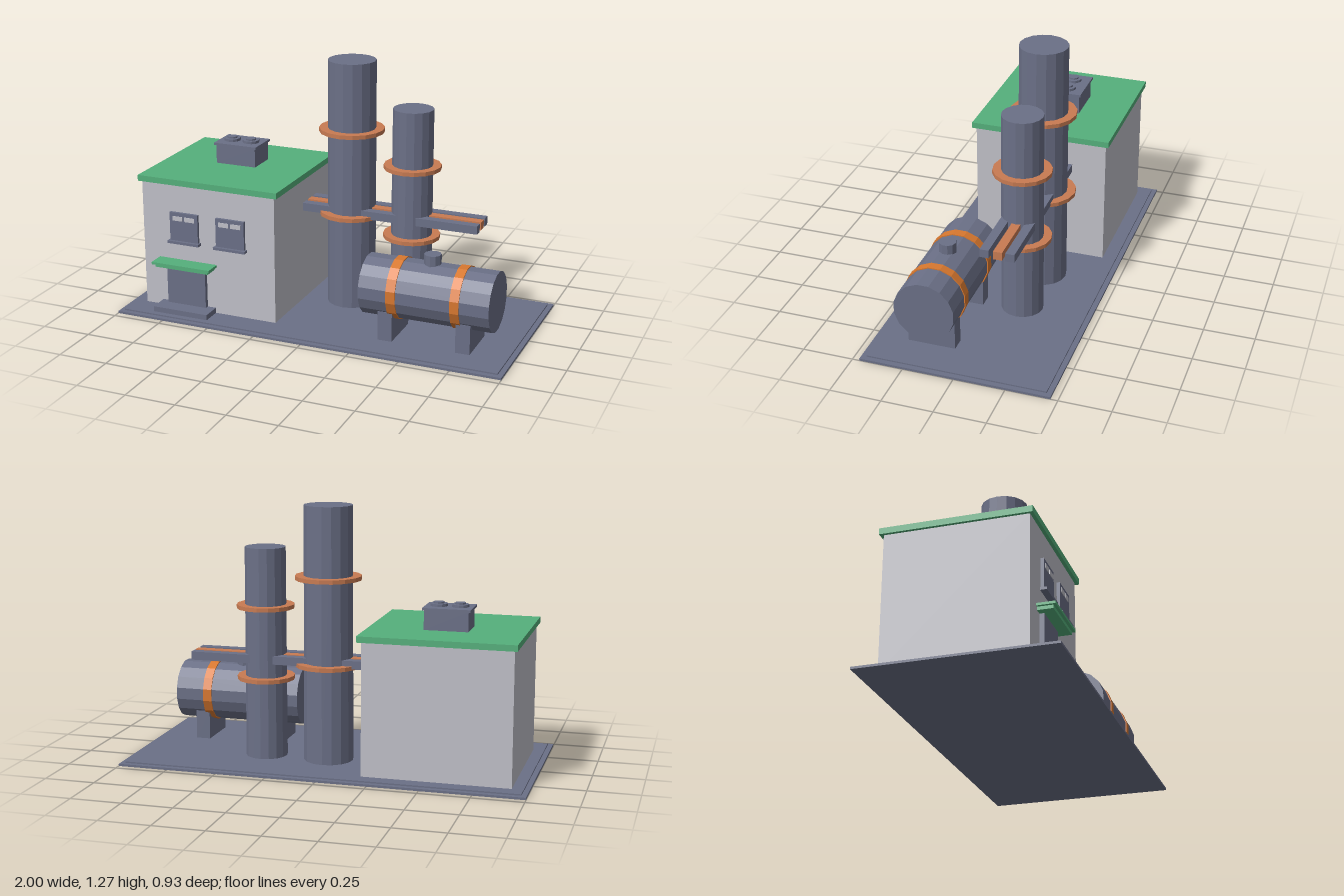
import * as THREE from 'three';

const mat = (name, color, flat = true) => {
  const m = new THREE.MeshStandardMaterial({ color, flatShading: flat });
  m.name = name;
  return m;
};

export function createModel() {
  const root = new THREE.Group();
  root.name = 'factory';
  const steel = mat('steel grey', 0x6b7087);
  const wall = mat('wall grey', 0xc0c0c8);
  const green = mat('roof green', 0x55b07c);
  const copper = mat('copper', 0xc87b52);
  const orange = mat('band orange', 0xd8782f);

  const group = (name) => {
    const g = new THREE.Group();
    g.name = name;
    root.add(g);
    return g;
  };
  const add = (parent, name, geometry, material) => {
    const m = new THREE.Mesh(geometry, material);
    m.name = name;
    parent.add(m);
    return m;
  };
  // Box given by its extents on each axis
  const box = (parent, name, material, [x0, x1], [y0, y1], [z0, z1]) => {
    const g = new THREE.BoxGeometry(x1 - x0, y1 - y0, z1 - z0);
    g.translate((x0 + x1) / 2, (y0 + y1) / 2, (z0 + z1) / 2);
    return add(parent, name, g, material);
  };
  // Upright cylinder from y0 to y1
  const post = (parent, name, material, x, z, r0, r1, y0, y1, sides) => {
    const g = new THREE.CylinderGeometry(r1, r0, y1 - y0, sides);
    g.translate(x, (y0 + y1) / 2, z);
    return add(parent, name, g, material);
  };

  // Ground slab with a shallow raised deck
  const base = group('base');
  box(base, 'slab', steel, [-1, 1], [0, 0.011], [-0.465, 0.465]);
  box(base, 'deck', steel, [-0.975, 0.975], [0.011, 0.018], [-0.44, 0.44]);

  // Main building
  const building = group('building');
  box(building, 'walls', wall, [-0.92, -0.2], [0.005, 0.67], [-0.372, 0.31]);
  box(building, 'roof', green, [-0.935, -0.18], [0.668, 0.698], [-0.39, 0.327]);

  // Rooftop cooling unit with two fans
  const cooler = group('roofUnit');
  box(cooler, 'unitBody', steel, [-0.665, -0.45], [0.698, 0.795], [-0.158, -0.005]);
  box(cooler, 'unitLid', steel, [-0.675, -0.442], [0.793, 0.805], [-0.166, 0.003]);
  for (const x of [-0.611, -0.507]) {
    post(cooler, 'fanHousing', steel, x, -0.081, 0.042, 0.042, 0.805, 0.818, 12);
    post(cooler, 'fanHub', steel, x, -0.081, 0.026, 0.026, 0.818, 0.826, 10);
  }

  // Entrance
  const entrance = group('entrance');
  box(entrance, 'door', steel, [-0.785, -0.573], [0.04, 0.25], [0.3, 0.332]);
  box(entrance, 'step', steel, [-0.825, -0.528], [0.016, 0.045], [0.3, 0.412]);
  box(entrance, 'canopy', green, [-0.822, -0.53], [0.248, 0.266], [0.3, 0.383]);
  box(entrance, 'canopyTop', green, [-0.835, -0.517], [0.264, 0.276], [0.3, 0.397]);

  // Windows: frame, sill and two light panes each
  for (const x of [-0.687, -0.434]) {
    const win = group('window');
    box(win, 'frame', steel, [x - 0.077, x + 0.077], [0.378, 0.526], [0.3, 0.325]);
    box(win, 'sill', steel, [x - 0.086, x + 0.086], [0.367, 0.38], [0.3, 0.341]);
    for (const s of [-0.033, 0.033])
      box(win, 'pane', wall, [x + s - 0.027, x + s + 0.027], [0.485, 0.508], [0.322, 0.328]);
  }

  // Chimneys with flat collar rings
  const collar = (parent, x, z, outer, inner, y, h) => {
    const pts = [[inner, -h], [outer, -h], [outer, h], [inner, h], [inner, -h]]
      .map(([r, v]) => new THREE.Vector2(r, v));
    add(parent, 'collar', new THREE.LatheGeometry(pts, 16), copper).position.set(x, y, z);
  };
  const chimneys = [
    { x: 0.03, r: 0.122, h: 1.275, ring: 0.163, ys: [0.924, 0.498] },
    { x: 0.35, r: 0.103, h: 1.062, ring: 0.142, ys: [0.77, 0.415] },
  ];
  for (const { x, r, h, ring, ys } of chimneys) {
    const c = group('chimney');
    post(c, 'stack', steel, x, -0.119, r, r - 0.003, 0.01, h, 16);
    for (const y of ys) collar(c, x, -0.119, ring, r - 0.005, y, 0.01);
  }

  // Three square pipes running past the chimneys
  const pipes = group('pipes');
  for (const [z, m] of [[-0.054, steel], [-0.119, copper], [-0.178, steel]])
    box(pipes, 'pipe', m, [-0.205, 0.713], [0.494, 0.535], [z - 0.022, z + 0.022]);

  // Horizontal tank with bands, vent and saddles
  const tank = group('tank');
  const barrel = (name, material, r, x0, x1) => {
    const g = new THREE.CylinderGeometry(r, r, x1 - x0, 16);
    g.rotateX(0).rotateZ(Math.PI / 2).rotateX(Math.PI / 16);
    g.translate((x0 + x1) / 2, 0.256, 0.181);
    add(tank, name, g, material);
  };
  barrel('shell', steel, 0.149, 0.242, 0.89);
  barrel('band', orange, 0.154, 0.383, 0.43);
  barrel('band', orange, 0.154, 0.7, 0.745);
  post(tank, 'vent', steel, 0.565, 0.181, 0.042, 0.042, 0.38, 0.45, 10);
  for (const x of [0.37, 0.76])
    box(tank, 'saddle', steel, [x - 0.036, x + 0.036], [0.015, 0.165], [0.066, 0.3]);

  return root;
}
